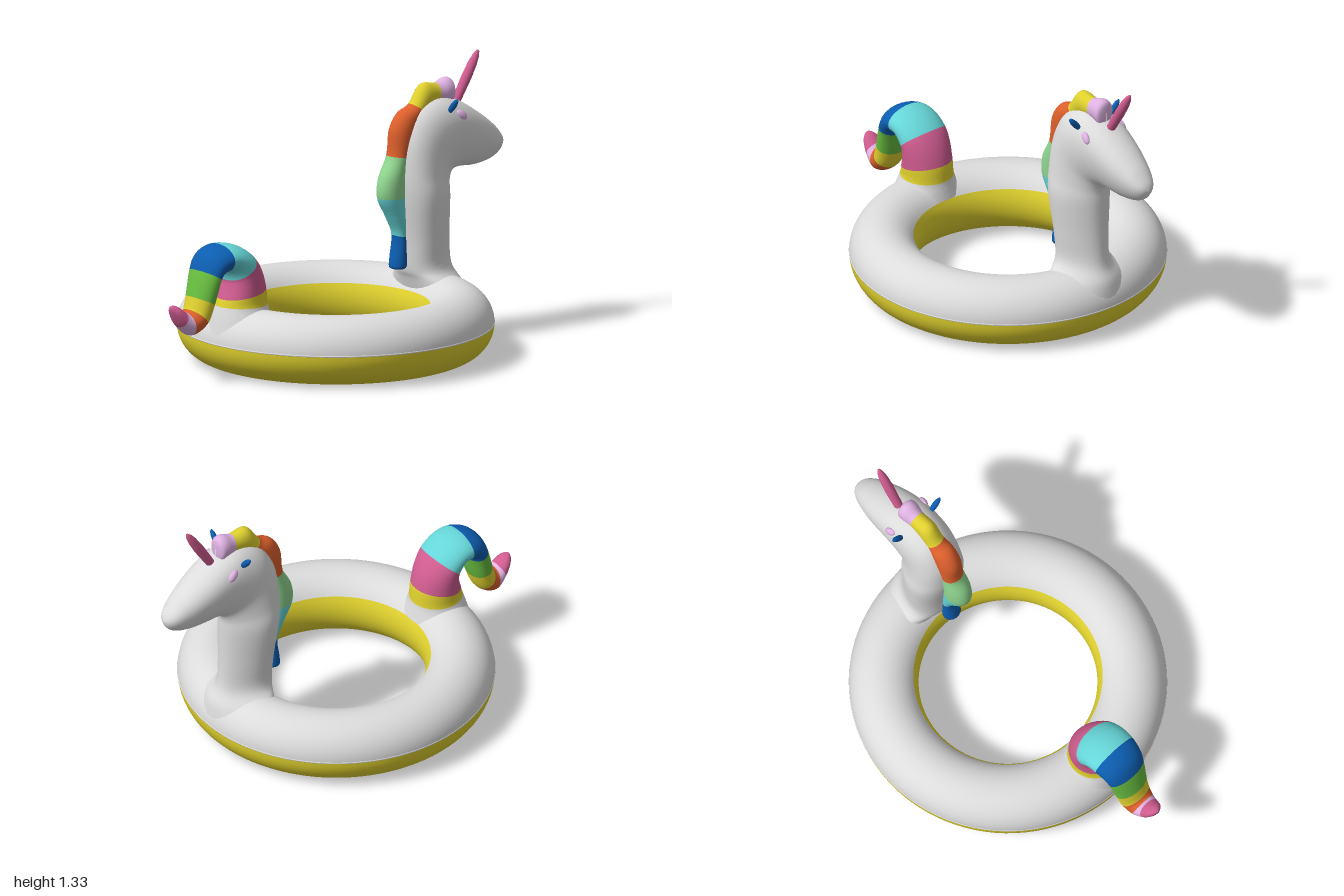
import * as THREE from 'three';

const mat = (name, color) => {
  const m = new THREE.MeshStandardMaterial({ color });
  m.name = name;
  return m;
};

// Smooth loft through elliptical sections lying across the XY plane.
// section: [ax, ay, bx, by, halfDepth]; a and b are opposite outline points.
// bands: [material, last section index]; egg widens the a side.
function loft(name, sections, bands, egg = 0, steps = 5, sides = 36) {
  const rows = [];
  const last = sections.length - 1;
  const at = (i) => sections[Math.max(0, Math.min(last, i))];
  for (let s = 0; s <= last * steps; s++) {
    const i = Math.min(last - 1, Math.floor(s / steps));
    const t = s / steps - i;
    rows.push(at(i).map((p1, k) => {
      const p0 = at(i - 1)[k], p2 = at(i + 1)[k], p3 = at(i + 2)[k];
      return p1 + 0.5 * t * (p2 - p0 + t * (2 * p0 - 5 * p1 + 4 * p2 - p3 + t * (3 * (p1 - p2) + p3 - p0)));
    }));
  }
  const pos = [], index = [];
  for (const [ax, ay, bx, by, rz] of rows) {
    for (let j = 0; j < sides; j++) {
      const a = (j / sides) * Math.PI * 2, c = Math.cos(a);
      pos.push(
        (ax + bx) / 2 + ((bx - ax) / 2) * c,
        (ay + by) / 2 + ((by - ay) / 2) * c,
        Math.max(rz, 0.001) * Math.sin(a) * (1 - egg * c)
      );
    }
  }
  for (let r = 0; r < rows.length - 1; r++) {
    for (let j = 0; j < sides; j++) {
      const k = (j + 1) % sides, p = r * sides, q = p + sides;
      index.push(p + j, q + j, p + k, p + k, q + j, q + k);
    }
  }
  const geo = new THREE.BufferGeometry();
  geo.setAttribute('position', new THREE.Float32BufferAttribute(pos, 3));
  geo.setIndex(index);
  geo.computeVertexNormals();
  let from = 0;
  bands.forEach(([, end], b) => {
    geo.addGroup(from * steps * sides * 6, (end - from) * steps * sides * 6, b);
    from = end;
  });
  const mesh = new THREE.Mesh(geo, bands.map((b) => b[0]));
  mesh.name = name;
  return mesh;
}

export function createModel() {
  const model = new THREE.Group();
  const white = mat('white', 0xdcdcdc), yellow = mat('yellow', 0xdfd02e);
  const blue = mat('blue', 0x0c5db0), cyan = mat('cyan', 0x66d6d8);
  const pink = mat('pink', 0xcf5c8f), green = mat('green', 0x68bd3f);
  const mint = mat('mint green', 0x90d690), orange = mat('orange', 0xdd5f2c);
  const lilac = mat('lilac', 0xdfb2e2);

  const add = (name, geo, material) => {
    const mesh = new THREE.Mesh(geo, material);
    mesh.name = name;
    model.add(mesh);
    return mesh;
  };

  // Inflated ring: white upper skin, yellow underside that climbs the inner wall
  const R = 0.575, r = 0.161, seam = 148;
  const ringPart = (name, from, to, material) => {
    const pts = [];
    for (let i = 0; i <= 28; i++) {
      const a = THREE.MathUtils.degToRad(from + ((to - from) * i) / 28);
      pts.push(new THREE.Vector2(R + r * Math.cos(a), r + r * Math.sin(a)));
    }
    add(name, new THREE.LatheGeometry(pts, 96), material);
  };
  ringPart('ringTop', 0, seam, white);
  ringPart('ringBottom', seam, 360, yellow);
  const bead = add('ringSeam', new THREE.TorusGeometry(R + r - 0.003, 0.005, 8, 96), white);
  bead.rotation.x = Math.PI / 2;
  bead.position.y = r + 0.002;

  // Neck flaring out of the ring, turning forward into the head
  model.add(loft('neckAndHead', [
    [0.45, 0.25, 0.73, 0.2, 0.25],
    [0.43, 0.31, 0.715, 0.28, 0.18],
    [0.41, 0.36, 0.677, 0.36, 0.121],
    [0.40, 0.50, 0.665, 0.50, 0.125],
    [0.375, 0.70, 0.665, 0.68, 0.142],
    [0.37, 0.83, 0.667, 0.75, 0.13],
    [0.39, 0.98, 0.69, 0.787, 0.121],
    [0.46, 1.10, 0.74, 0.795, 0.12],
    [0.58, 1.15, 0.79, 0.79, 0.117],
    [0.70, 1.125, 0.84, 0.79, 0.11],
    [0.82, 1.058, 0.885, 0.795, 0.095],
    [0.92, 0.985, 0.928, 0.805, 0.073],
    [0.965, 0.94, 0.967, 0.825, 0.053],
    [0.99, 0.908, 0.99, 0.852, 0.03],
    [1.0, 0.88, 1.0, 0.88, 0.001]
  ], [[white, 14]], 0.22));

  // Banded mane running up the back of the neck and over the crown
  model.add(loft('mane', [
    [0.37, 0.358, 0.38, 0.358, 0.001],
    [0.34, 0.366, 0.412, 0.366, 0.042],
    [0.342, 0.41, 0.415, 0.41, 0.046],
    [0.355, 0.52, 0.41, 0.51, 0.042],
    [0.315, 0.61, 0.41, 0.60, 0.05],
    [0.265, 0.705, 0.41, 0.70, 0.058],
    [0.275, 0.80, 0.41, 0.79, 0.06],
    [0.325, 0.90, 0.42, 0.89, 0.055],
    [0.338, 1.02, 0.46, 0.98, 0.057],
    [0.385, 1.095, 0.49, 1.04, 0.053],
    [0.455, 1.13, 0.52, 1.08, 0.045],
    [0.52, 1.215, 0.56, 1.10, 0.045],
    [0.605, 1.21, 0.61, 1.11, 0.042],
    [0.66, 1.228, 0.65, 1.11, 0.05],
    [0.692, 1.215, 0.685, 1.10, 0.045],
    [0.70, 1.17, 0.70, 1.12, 0.001]
  ], [[blue, 3], [cyan, 5], [mint, 7], [orange, 10], [yellow, 12], [lilac, 15]]));

  // Curled tail: white collar on the ring, then coloured bands to the tip
  model.add(loft('tail', [
    [-0.735, 0.18, -0.43, 0.25, 0.19],
    [-0.715, 0.28, -0.44, 0.29, 0.15],
    [-0.70, 0.335, -0.45, 0.335, 0.125],
    [-0.69, 0.37, -0.46, 0.415, 0.122],
    [-0.672, 0.42, -0.49, 0.50, 0.124],
    [-0.665, 0.46, -0.54, 0.57, 0.126],
    [-0.685, 0.50, -0.62, 0.622, 0.124],
    [-0.71, 0.505, -0.71, 0.638, 0.12],
    [-0.73, 0.495, -0.79, 0.605, 0.112],
    [-0.742, 0.475, -0.835, 0.53, 0.103],
    [-0.77, 0.36, -0.873, 0.41, 0.087],
    [-0.81, 0.272, -0.892, 0.352, 0.078],
    [-0.89, 0.23, -0.91, 0.342, 0.066],
    [-0.955, 0.278, -0.925, 0.35, 0.054],
    [-0.985, 0.325, -0.965, 0.378, 0.04],
    [-1.0, 0.36, -0.99, 0.384, 0.018],
    [-1.0, 0.378, -0.998, 0.38, 0.001]
  ], [[white, 2], [yellow, 3], [pink, 5], [cyan, 7], [blue, 9], [green, 10],
    [yellow, 11], [orange, 12], [lilac, 13], [pink, 16]]));

  // Horn
  const hornProfile = [[0.02, -0.03], [0.022, 0.05], [0.024, 0.13], [0.021, 0.2], [0.015, 0.24], [0.007, 0.262], [0, 0.266]];
  const horn = add('horn', new THREE.LatheGeometry(hornProfile.map((p) => new THREE.Vector2(...p)), 24), pink);
  horn.position.set(0.727, 1.10, 0);
  horn.rotation.z = -0.545;

  // Ears and eyes, mirrored across the head
  for (const side of [1, -1]) {
    const label = side > 0 ? 'front' : 'back';
    const ear = add(label + 'Ear', new THREE.SphereGeometry(1, 20, 14), blue);
    ear.scale.set(0.014, 0.05, 0.015);
    ear.position.set(0.612, 1.115, side * 0.118);
    ear.rotation.x = side * 0.72;

    const eye = add(label + 'Eye', new THREE.SphereGeometry(1, 24, 16), lilac);
    eye.scale.set(0.032, 0.019, 0.014);
    eye.position.set(0.675, 1.065, side * 0.107);
    eye.rotation.set(-side * 0.3, 0, -0.7);
  }
  return model;
}
